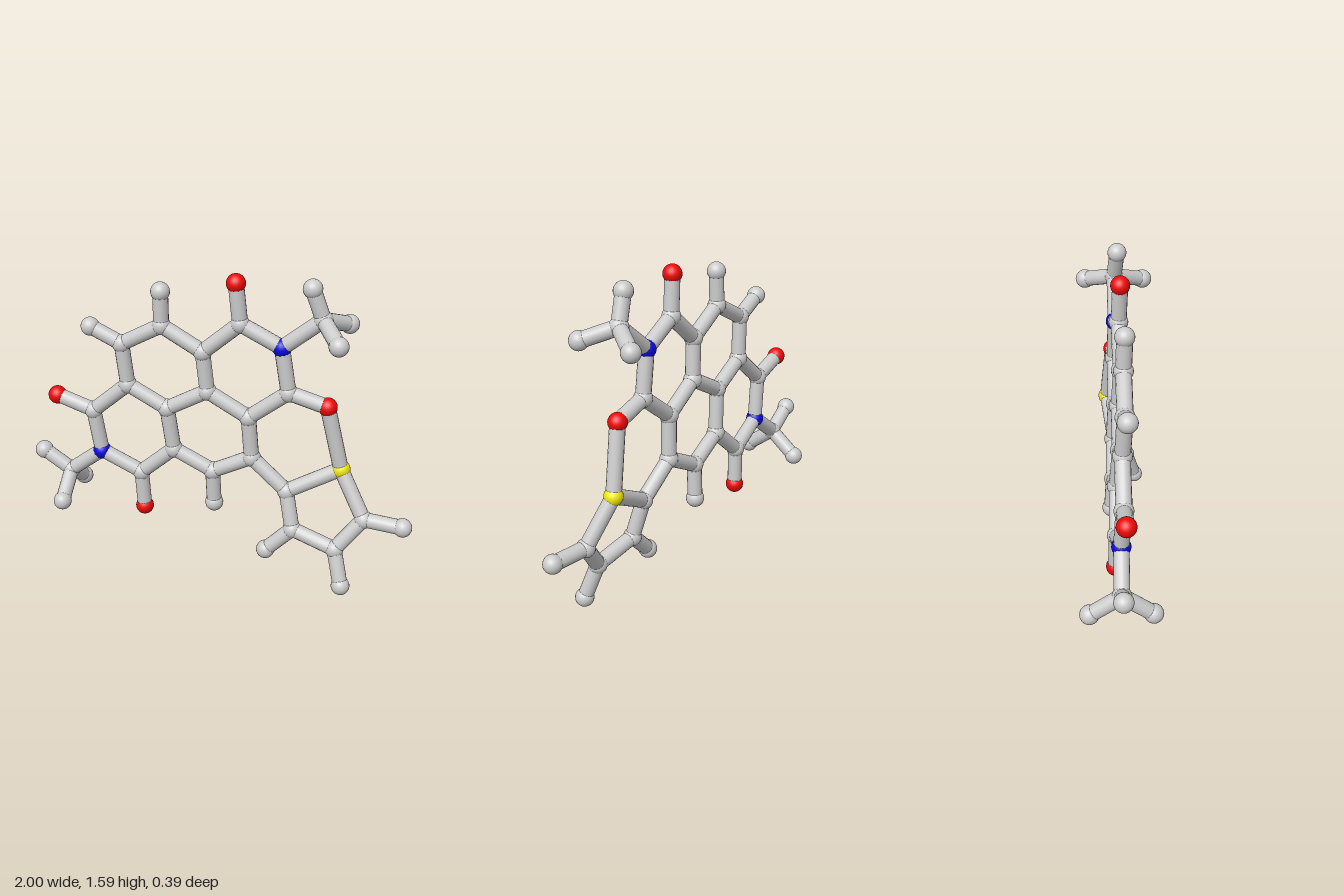
import * as THREE from 'three';

const BALL = 0.047, STICK = 0.038;
const COLORS = { C: 0xcccccc, H: 0xcccccc, O: 0xee0808, N: 0x0808dd, S: 0xf2ea08 };
const PART = { C: 'carbon', H: 'hydrogen', O: 'oxygen', N: 'nitrogen', S: 'sulfur' };

// Joint positions; the first letter gives the element
const fusedRings = {
  C1: [-0.484, 1.185, 0.02], C2: [-0.275, 1.30, 0.02], C3: [-0.07, 1.185, 0.015],
  C4: [-0.05, 0.976, 0.005], C5: [-0.26, 0.858, 0.005], C6: [-0.463, 0.965, 0.01],
  C7: [0.115, 1.345, 0.01], N1: [0.318, 1.243, 0], C8: [0.355, 1.013, -0.005],
  C9: [0.158, 0.858, -0.005], C10: [0.174, 0.634, -0.015], C11: [-0.03, 0.527, -0.02],
  C12: [-0.233, 0.628, -0.01], C13: [-0.414, 0.468, -0.015], N2: [-0.623, 0.57, 0],
  C14: [-0.655, 0.80, 0.01],
};
const ringEnds = {
  H1: [-0.643, 1.26, 0.025], H2: [-0.275, 1.473, 0.025], H11: [-0.025, 0.34, -0.03],
  O7: [0.095, 1.545, 0.017], O8: [0.548, 0.96, -0.01],
  O13: [-0.404, 0.265, -0.02], O14: [-0.848, 0.863, 0.014],
};
const sideRing = {
  C20: [0.36, 0.48, 0], S1: [0.623, 0.623, -0.037], C21: [0.757, 0.393, 0.025],
  C22: [0.628, 0.227, 0.07], C23: [0.404, 0.286, 0.038],
  H21: [0.953, 0.393, 0.05], H22: [0.676, 0.05, 0.12], H23: [0.27, 0.152, 0.05],
};
const lowerMethyl = {
  C15: [-0.805, 0.43, -0.003], H15: [-0.953, 0.527, 0],
  H16: [-0.80, 0.318, 0.145], H17: [-0.80, 0.318, -0.152],
};
const upperMethyl = {
  C16: [0.51, 1.40, 0], H18: [0.457, 1.55, 0.013],
  H19: [0.612, 1.335, 0.148], H20: [0.61, 1.34, -0.148],
};

// Chains of joints connected by sticks
const chains = {
  fusedRings: ['C1 C2 C3 C4 C5 C6 C1', 'C3 C7 N1 C8 C9 C4', 'C9 C10 C11 C12 C5', 'C12 C13 N2 C14 C6'],
  ringEnds: ['C1 H1', 'C2 H2', 'C11 H11', 'C7 O7', 'C8 O8', 'C13 O13', 'C14 O14'],
  sideRing: ['C10 C20 S1 C21 C22 C23 C20', 'O8 S1', 'C21 H21', 'C22 H22', 'C23 H23'],
  lowerMethyl: ['N2 C15 H15', 'H16 C15 H17'],
  upperMethyl: ['N1 C16 H18', 'H19 C16 H20'],
};

export function createModel() {
  const model = new THREE.Group();
  model.name = 'stickMolecule';
  const groups = { fusedRings, ringEnds, sideRing, lowerMethyl, upperMethyl };
  const joints = Object.assign({}, ...Object.values(groups));
  const at = (id) => new THREE.Vector3(...joints[id]);

  const materials = {};
  for (const key in COLORS) materials[key] = new THREE.MeshStandardMaterial({ color: COLORS[key] });
  const ballGeometry = new THREE.SphereGeometry(BALL, 20, 14);
  const up = new THREE.Vector3(0, 1, 0);

  // Round stick between two joints
  const stick = (from, to) => {
    const a = at(from), b = at(to), dir = b.clone().sub(a);
    const mesh = new THREE.Mesh(
      new THREE.CylinderGeometry(STICK, STICK, dir.length(), 16, 1, true), materials.C);
    mesh.position.copy(a).add(b).multiplyScalar(0.5);
    mesh.quaternion.setFromUnitVectors(up, dir.normalize());
    mesh.name = 'bond';
    return mesh;
  };

  for (const [name, atoms] of Object.entries(groups)) {
    const group = new THREE.Group();
    group.name = name;
    // Balls
    for (const id in atoms) {
      const ball = new THREE.Mesh(ballGeometry, materials[id[0]]);
      ball.position.copy(at(id));
      ball.name = PART[id[0]] + 'Ball';
      group.add(ball);
    }
    // Sticks
    for (const chain of chains[name]) {
      const ids = chain.split(' ');
      for (let i = 1; i < ids.length; i++) group.add(stick(ids[i - 1], ids[i]));
    }
    model.add(group);
  }
  return model;
}
